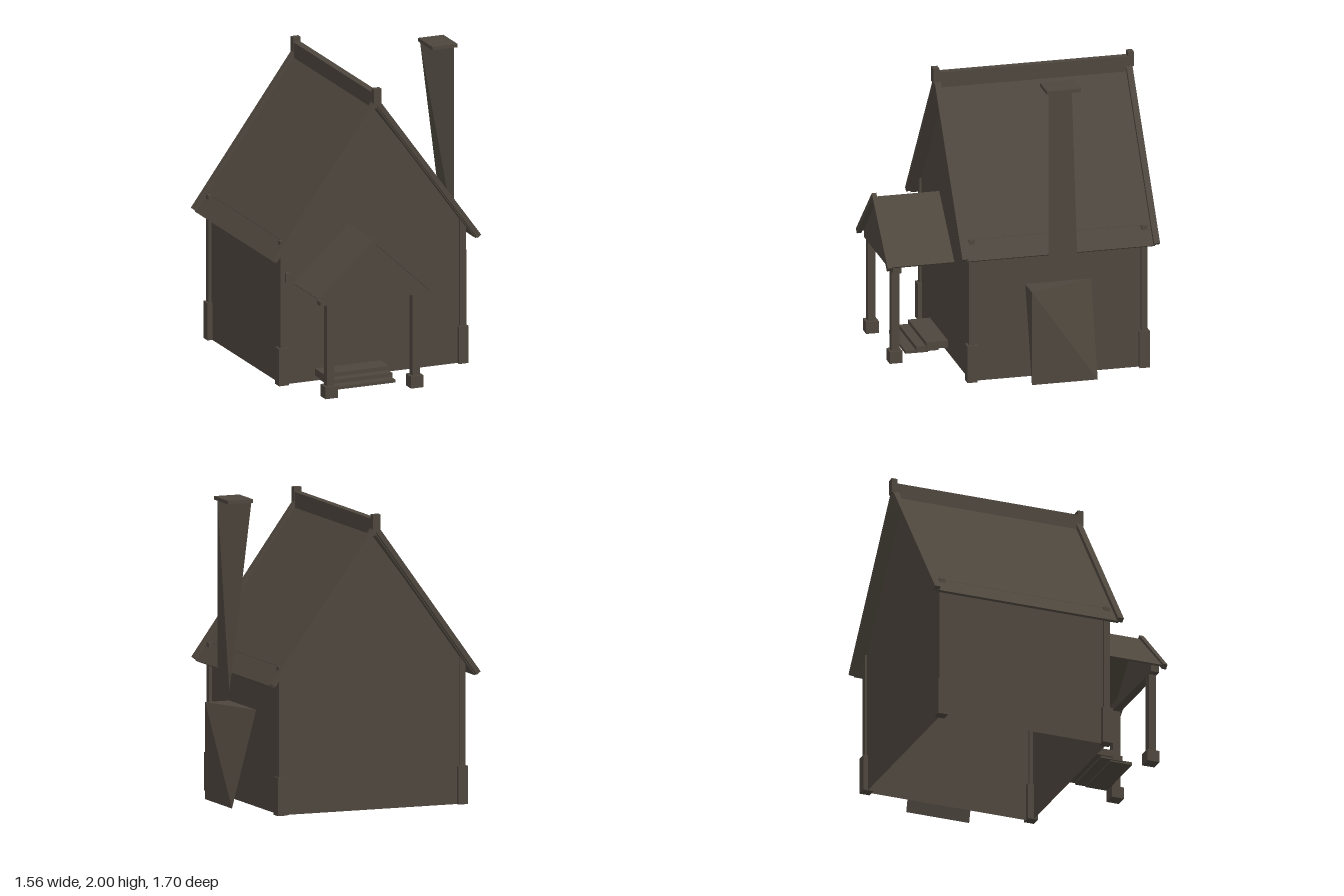
import * as THREE from 'three';
import { ConvexGeometry } from 'three/addons/geometries/ConvexGeometry.js';

export function createModel() {
  const house = new THREE.Group();
  house.name = 'house';
  const timber = new THREE.MeshStandardMaterial({ color: 0x4d463d });
  timber.name = 'dark timber';
  const plaster = timber.clone();
  plaster.name = 'dark timber open shell';
  plaster.side = THREE.DoubleSide;

  const add = (name, geometry, material = timber) => {
    const mesh = new THREE.Mesh(geometry, material);
    mesh.name = name;
    house.add(mesh);
    return mesh;
  };
  // box from its minimum and maximum on each axis
  const box = (name, x0, x1, y0, y1, z0, z1) =>
    add(name, new THREE.BoxGeometry(x1 - x0, y1 - y0, z1 - z0))
      .position.set((x0 + x1) / 2, (y0 + y1) / 2, (z0 + z1) / 2);
  // front outline extruded from z0 to z1
  const prism = (name, points, z0, z1) => {
    const shape = new THREE.Shape(points.map(p => new THREE.Vector2(...p)));
    const g = new THREE.ExtrudeGeometry(shape, { depth: z1 - z0, bevelEnabled: false });
    return add(name, g.translate(0, 0, z0));
  };
  // two sloping boards meeting at a ridge, ends cut square to the slope
  const chevron = (name, cx, apexY, halfW, eaveY, thick, z0, z1) => {
    const slope = (apexY - eaveY) / halfW, len = Math.hypot(1, slope);
    const dx = thick * slope / len, dy = thick / len;
    prism(name, [
      [cx, apexY], [cx - halfW, eaveY], [cx - halfW + dx, eaveY - dy],
      [cx, apexY - thick * len], [cx + halfW - dx, eaveY - dy], [cx + halfW, eaveY],
    ], z0, z1);
  };

  const CX = -0.045, CZ = -0.18;

  // walls: open shell without a floor
  const outline = [[CX - 0.635, 0], [CX + 0.635, 0], [CX + 0.635, 0.97], [CX, 1.8], [CX - 0.635, 0.97]];
  const gable = new THREE.Shape(outline.map(p => new THREE.Vector2(...p)));
  add('frontWall', new THREE.ShapeGeometry(gable).translate(0, 0, 0.4), plaster);
  add('backWall', new THREE.ShapeGeometry(gable).rotateY(Math.PI).translate(2 * CX, 0, -0.76), plaster);
  for (const s of [-1, 1]) {
    add(s > 0 ? 'leftWall' : 'rightWall',
      new THREE.PlaneGeometry(1.16, 0.97).rotateY(s * Math.PI / 2).translate(CX + s * 0.635, 0.485, CZ), plaster);
    // corner posts and plinths
    for (const t of [-1, 1]) {
      const x = CX + s * 0.635, z = CZ + t * 0.575;
      box('cornerPost', x - 0.02, x + 0.02, 0, 0.97, z - 0.02, z + 0.02);
      box('cornerPlinth', x - 0.034, x + 0.034, 0, 0.25, z - 0.034, z + 0.034);
    }
  }

  // main roof, barge boards, ridge and finials
  chevron('mainRoof', CX, 1.84, 0.72, 0.851, 0.015, -0.81, 0.45);
  for (const t of [-1, 1]) {
    const z = CZ + t * 0.64;
    chevron('bargeBoard', CX, 1.882, 0.735, 0.87, 0.033, z - 0.02, z + 0.02);
    box('ridgeFinial', CX - 0.027, CX + 0.027, 1.84, 1.94, z + t * 0.01 - 0.02, z + t * 0.01 + 0.02);
  }
  box('ridgeBeam', CX - 0.024, CX + 0.024, 1.8, 1.91, -0.82, 0.46);

  // porch
  const PX = -0.2125;
  chevron('porchRoof', PX, 1.03, 0.39, 0.675, 0.012, 0.4, 0.825);
  chevron('porchBargeBoard', PX, 1.055, 0.408, 0.675, 0.035, 0.82, 0.85);
  prism('porchGable', [[PX - 0.36, 0.675], [PX + 0.36, 0.675], [PX, 1.015]], 0.79, 0.81);
  box('porchBeam', PX - 0.375, PX + 0.375, 0.625, 0.677, 0.75, 0.805);
  for (const s of [-1, 1]) {
    const x = PX + s * 0.302;
    box('porchPost', x - 0.026, x + 0.026, 0, 0.63, 0.752, 0.803);
    box('porchPostBase', x - 0.044, x + 0.044, 0, 0.08, 0.735, 0.82);
  }

  // entrance steps
  box('topStep', -0.45, 0.015, 0.035, 0.082, 0.4, 0.545);
  box('middleStep', -0.44, 0.005, 0.02, 0.056, 0.46, 0.61);
  box('bottomStep', -0.43, -0.005, 0.01, 0.03, 0.53, 0.68);

  // small box on the front wall
  box('wallBox', -0.667, -0.635, 0.69, 0.755, 0.4, 0.43);

  // tapered chimney pieces and cap
  const hull = (name, pts) => add(name, new ConvexGeometry(pts.map(p => new THREE.Vector3(...p))));
  hull('chimneyBase', [
    [0.78, 0.005, 0.04], [0.78, 0.005, -0.4], [0.78, 0.64, 0.04], [0.61, 0.64, -0.4], [0.61, 0.64, 0.04],
  ]);
  hull('chimneyStack', [
    [0.745, 0.75, -0.08], [0.745, 0.75, -0.275], [0.745, 1.98, -0.08], [0.59, 1.98, -0.275],
  ]);
  box('chimneyCap', 0.585, 0.763, 1.977, 2, -0.293, -0.065);

  return house;
}
